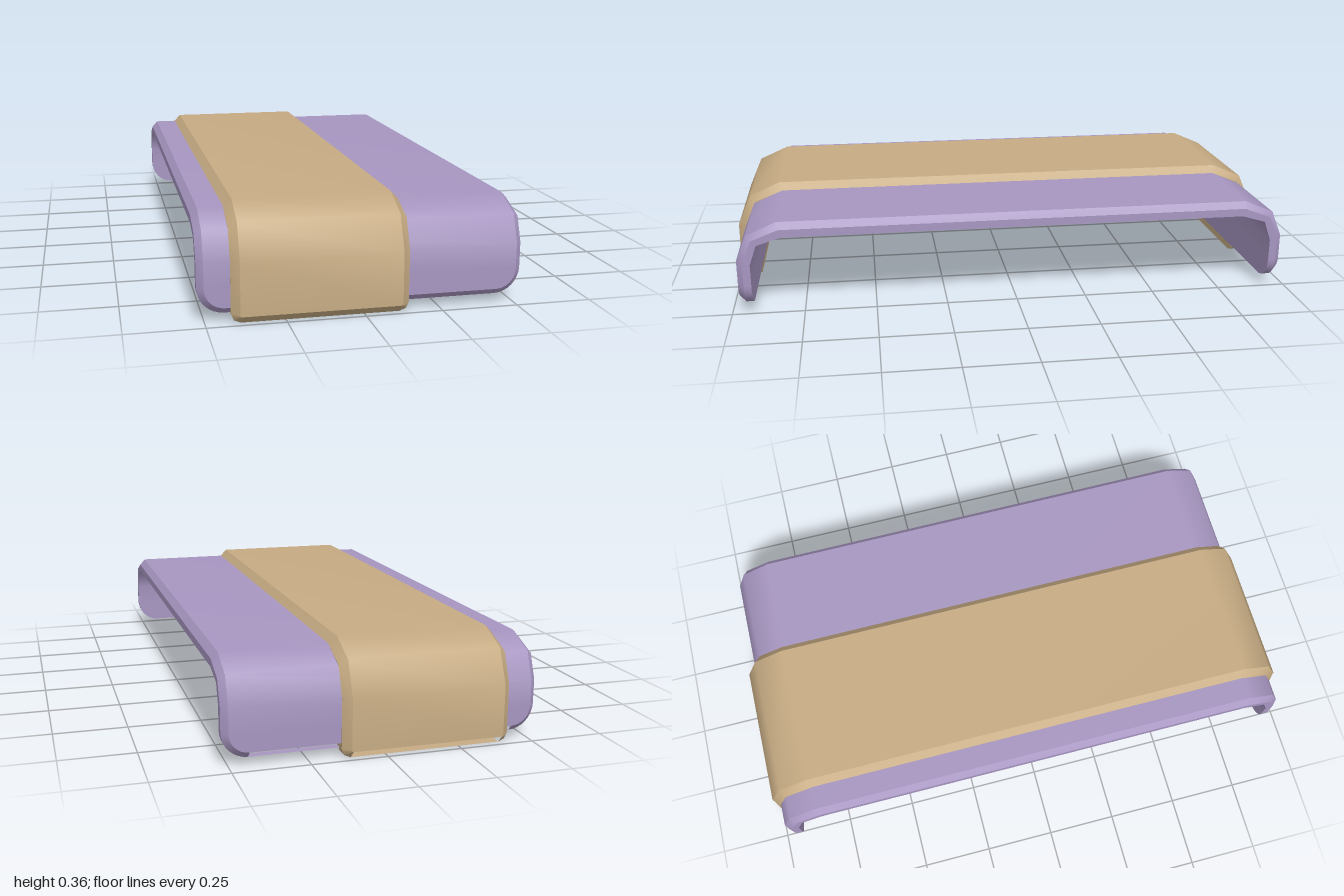
import * as THREE from 'three';
import { mergeGeometries } from 'three/addons/utils/BufferGeometryUtils.js';

// Grid of points [row][col] -> smooth surface; separate grids keep sharp edges between them
function sheet(rows) {
  const n = rows[0].length, pos = rows.flat(2), idx = [];
  for (let i = 0; i + 1 < rows.length; i++) {
    for (let j = 0; j + 1 < n; j++) {
      const a = i * n + j, b = a + n;
      idx.push(a, b, b + 1, a, b + 1, a + 1);
    }
  }
  const g = new THREE.BufferGeometry();
  g.setAttribute('position', new THREE.Float32BufferAttribute(pos, 3));
  g.setIndex(idx);
  g.computeVertexNormals();
  return g;
}

// Bent plate: a channel profile with bevelled outer edges and rounded leg corners
function bentPlate({ inner, outer, halfWidth, bottom, radius, bevel, steps }) {
  const thickness = outer[2][0] - inner[2][0];
  const t = 1 - bevel / thickness;
  const half = [];
  // bend over the shoulder
  inner.forEach((p, i) => {
    const q = outer[i];
    half.push({
      inner: p, outer: q,
      mid: [p[0] + (q[0] - p[0]) * t, p[1] + (q[1] - p[1]) * t],
      w: halfWidth, wTop: halfWidth - bevel,
    });
  });
  // straight leg, narrowing round its bottom corners
  const zi = inner[2][0], zo = outer[2][0], yc = bottom + radius;
  for (let k = 0; k <= steps; k++) {
    const a = (k / steps) * Math.PI / 2, c = Math.cos(a), s = Math.sin(a);
    const y = yc - radius * s, yTop = yc - (radius - bevel) * s;
    half.push({
      inner: [zi, y], mid: [zo - bevel, y], outer: [zo, yTop],
      w: halfWidth - radius + radius * c,
      wTop: halfWidth - radius + (radius - bevel) * c,
    });
  }
  const ring = (st, sign) => {
    const p = (x, [z, y]) => [x, y, z * sign];
    return [p(-st.w, st.inner), p(-st.w, st.mid), p(-st.wTop, st.outer),
      p(st.wTop, st.outer), p(st.w, st.mid), p(st.w, st.inner)];
  };
  const rings = [...half.slice().reverse().map(s => ring(s, -1)), ...half.map(s => ring(s, 1))];
  const parts = [];
  for (let j = 0; j < 6; j++) parts.push(sheet(rings.map(r => [r[j], r[(j + 1) % 6]])));
  // end faces: flat foot, then its bevel
  const f = rings[0], l = rings[rings.length - 1];
  for (const k of [0, 1]) {
    parts.push(sheet([[f[k], f[5 - k]], [f[k + 1], f[4 - k]]].reverse()));
    parts.push(sheet([[l[k], l[5 - k]], [l[k + 1], l[4 - k]]].reverse()));
  }
  return mergeGeometries(parts);
}

export function createModel() {
  const group = new THREE.Group();
  const purple = new THREE.MeshStandardMaterial({ name: 'purple', color: 0xa796c1 });
  const tan = new THREE.MeshStandardMaterial({ name: 'tan', color: 0xc6ab83 });

  // Main cover, profile points as [z, y]
  const cover = new THREE.Mesh(bentPlate({
    inner: [[0.815, 0.285], [0.9, 0.26], [0.925, 0.19]],
    outer: [[0.83, 0.335], [0.935, 0.29], [0.972, 0.2]],
    halfWidth: 0.523, bottom: 0.03, radius: 0.085, bevel: 0.021, steps: 8,
  }), purple);
  cover.name = 'cover';

  // Wide band wrapped over the cover, off centre
  const band = new THREE.Mesh(bentPlate({
    inner: [[0.817, 0.287], [0.902, 0.262], [0.927, 0.19]],
    outer: [[0.84, 0.36], [0.95, 0.312], [1, 0.2]],
    halfWidth: 0.283, bottom: 0.002, radius: 0.03, bevel: 0.026, steps: 2,
  }), tan);
  band.name = 'band';
  band.position.x = -0.138;

  group.add(cover, band);
  return group;
}
